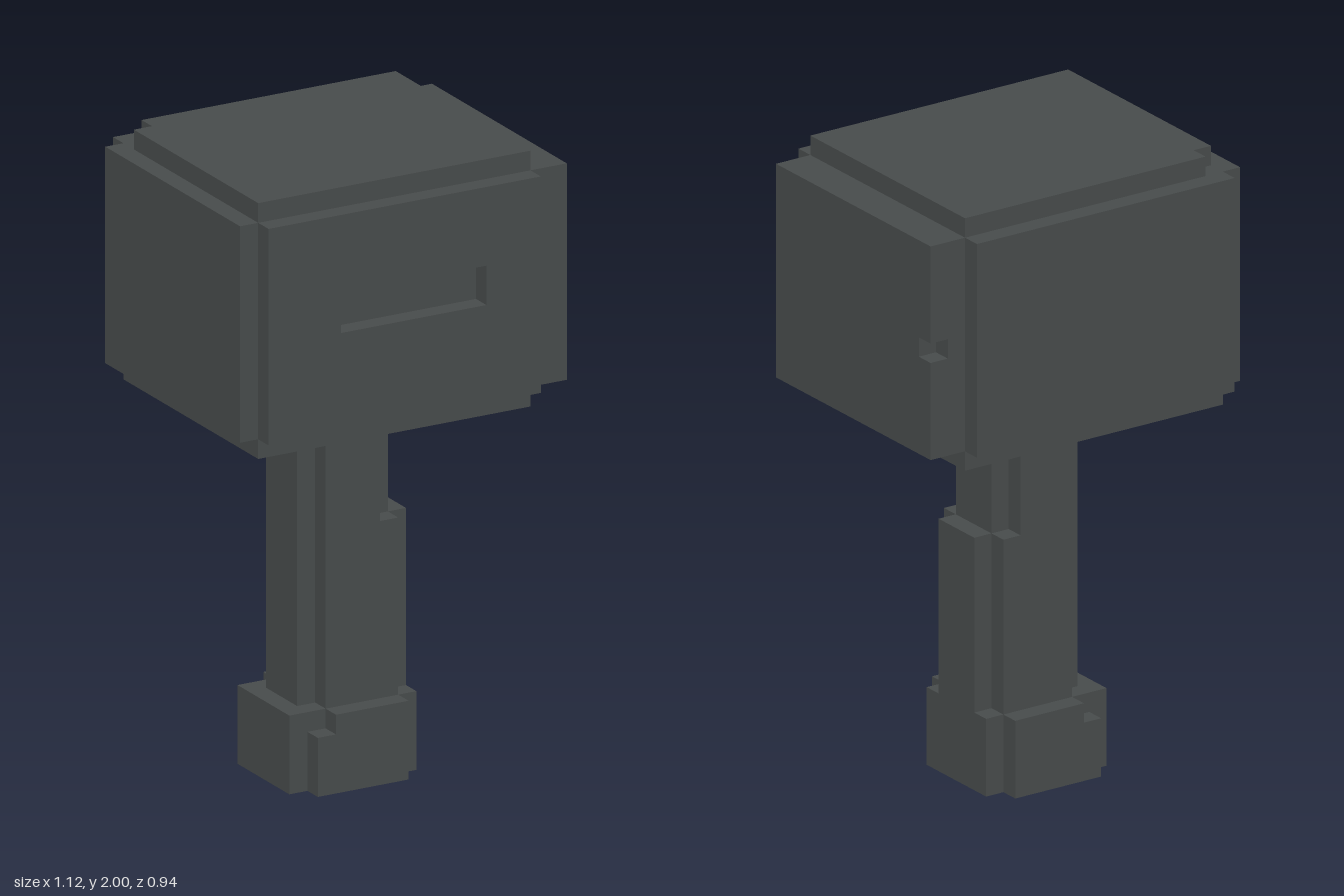
import * as THREE from 'three';

const U = 1 / 16; // size of one block
const darkGrey = new THREE.MeshStandardMaterial({ color: 0x474b4b });
darkGrey.name = 'darkGrey';

// Box given by its limits in blocks: [x0, x1, y0, y1, z0, z1]
function block(group, name, [x0, x1, y0, y1, z0, z1]) {
  const geo = new THREE.BoxGeometry((x1 - x0) * U, (y1 - y0) * U, (z1 - z0) * U);
  const mesh = new THREE.Mesh(geo, darkGrey);
  mesh.position.set((x0 + x1) / 2 * U, (y0 + y1) / 2 * U, (z0 + z1) / 2 * U);
  mesh.name = name;
  group.add(mesh);
}

function part(parent, name, pieces) {
  const group = new THREE.Group();
  group.name = name;
  for (const [pieceName, ...limits] of pieces) block(group, pieceName, limits);
  parent.add(group);
}

export function createModel() {
  const model = new THREE.Group();
  model.name = 'hammer';

  // Pommel: crossed boxes, with a chipped corner at front and back
  part(model, 'pommel', [
    ['pommelCore', -4, 3, 0, 4, -2.5, 2.5],
    ['pommelLower', -3, 2, 0, 3, -3.5, 3.5],
    ['pommelUpper', -2, 2, 3, 4, -3.5, 3.5],
  ]);

  // Handle: cross-shaped section, thicker on its left side lower down
  part(model, 'handle', [
    ['gripWide', -3, 3, 4, 13, -1.5, 1.5],
    ['gripDeep', -2, 2, 4, 13, -2.5, 2.5],
    ['shaftWide', -3, 2, 13, 19, -1.5, 1.5],
    ['shaftDeep', -2, 1, 13, 19, -2.5, 2.5],
  ]);

  // Head: core with a raised plate on every side
  part(model, 'headCore', [['core', -8, 7, 19, 31, -6.5, 6.5]]);

  // Top plate with one chipped corner
  part(model, 'topPlate', [
    ['topMain', -8, 7, 31, 32, -5.5, 6.5],
    ['topBackEdge', -7, 7, 31, 32, -6.5, -5.5],
  ]);

  // Front plate around a shallow slot
  part(model, 'frontPlate', [
    ['belowSlot', -8, 7, 20, 25, 6.5, 7.5],
    ['aboveSlot', -8, 7, 27, 31, 6.5, 7.5],
    ['slotRightSide', -8, -4, 25, 27, 6.5, 7.5],
    ['slotLeftSide', 4, 7, 25, 27, 6.5, 7.5],
  ]);
  part(model, 'backPlate', [['back', -8, 7, 20, 31, -7.5, -6.5]]);

  // Striking faces; the left one has a nick in its back edge
  part(model, 'rightFace', [['face', -9, -8, 20, 31, -6.5, 6.5]]);
  part(model, 'leftFace', [
    ['faceInner', 7, 8, 20, 31, -6.5, 6.5],
    ['faceOuter', 8, 9, 20, 31, -5.5, 6.5],
    ['belowNick', 8, 9, 20, 25, -6.5, -5.5],
    ['aboveNick', 8, 9, 26, 31, -6.5, -5.5],
  ]);

  return model;
}
